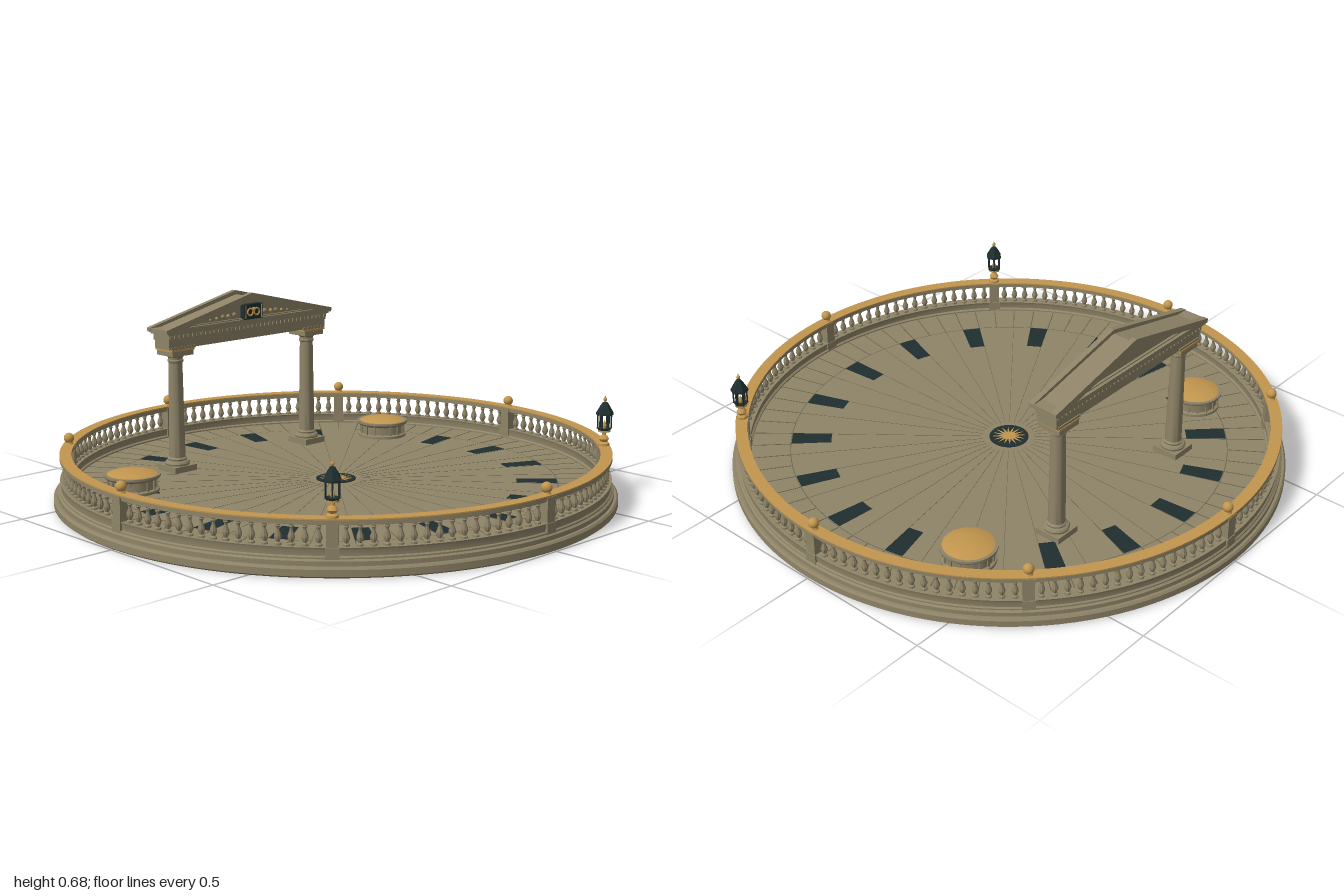
import * as THREE from 'three';
import { toCreasedNormals } from 'three/addons/utils/BufferGeometryUtils.js';

const mat = (name, color) => Object.assign(new THREE.MeshStandardMaterial({ color }), { name });
const stone = mat('stone', 0x8f8468);
const joint = mat('stone joint', 0x6a614b);
const gold = mat('gold', 0xc2964e);
const dark = mat('dark slate', 0x1f2e2f);

const FLOOR = 0.055, RAIL_R = 0.955, GATE_Z = -0.4975;

function add(parent, name, geo, material, x = 0, y = 0, z = 0, ry = 0) {
  const m = new THREE.Mesh(geo, material);
  m.name = name;
  m.position.set(x, y, z);
  m.rotation.y = ry;
  parent.add(m);
  return m;
}
function group(parent, name, x = 0, y = 0, z = 0, ry = 0) {
  const g = new THREE.Group();
  g.name = name;
  g.position.set(x, y, z);
  g.rotation.y = ry;
  parent.add(g);
  return g;
}
const box = (w, h, d) => new THREE.BoxGeometry(w, h, d);
// Profile of [radius, height] pairs, listed from the bottom up the outside
const lathe = (pts, seg) => toCreasedNormals(
  new THREE.LatheGeometry(pts.map(p => new THREE.Vector2(p[0], p[1])), seg), 0.6);
// Closed ring of rectangular section
const ring = (r0, r1, y0, y1, seg = 128) =>
  lathe([[r0, y0], [r1, y0], [r1, y1], [r0, y1], [r0, y0]], seg);
const flatRing = (r0, r1, seg = 96, start = 0, len = Math.PI * 2) =>
  new THREE.RingGeometry(r0, r1, seg, 1, start, len).rotateX(-Math.PI / 2);
function outline(pts) {
  return new THREE.Shape(pts.map(p => new THREE.Vector2(p[0], p[1])));
}
const extrude = (shape, depth) =>
  new THREE.ExtrudeGeometry(shape, { depth, bevelEnabled: false, curveSegments: 12 });

function buildFloor(root) {
  const g = group(root, 'terrace');
  add(g, 'steppedBase', lathe([[0, 0], [0.992, 0], [1, 0.006], [1, 0.028], [0.994, 0.035],
    [0.985, 0.035], [0.985, 0.05], [0.978, FLOOR], [0, FLOOR]], 128), stone);

  // Paving joints: broad outer border, finer inner rays
  const outer = box(0.003, 0.002, 0.135), inner = box(0.0014, 0.002, 0.69);
  for (let i = 0; i < 72; i++) {
    const a = i * Math.PI / 36, s = Math.sin(a), c = Math.cos(a);
    add(g, 'borderJoint', outer, joint, 0.86 * s, FLOOR, 0.86 * c, a);
    if (i % 2 === 0) add(g, 'innerJoint', inner, joint, 0.44 * s, FLOOR - 0.0003, 0.44 * c, a);
  }
  add(g, 'borderRing', flatRing(0.789, 0.792), joint, 0, FLOOR + 0.0012);

  // Dark paving slabs, one in every 20 degrees
  const step = Math.PI / 36;
  const slab = flatRing(0.645, 0.788, 3, -Math.PI / 2 - step / 2, step);
  for (let i = 0; i < 18; i++) add(g, 'darkSlab', slab, dark, 0, FLOOR + 0.002, 0, step * (0.5 + 4 * i));

  // Centre medallion with a sixteen-ray star
  add(g, 'medallion', new THREE.CylinderGeometry(0.071, 0.071, 0.003, 48), dark, 0, FLOOR + 0.0015);
  const star = [];
  for (let i = 0; i < 32; i++) {
    const r = i % 2 ? 0.022 : 0.058, a = i * Math.PI / 16;
    star.push([r * Math.cos(a), r * Math.sin(a)]);
  }
  add(g, 'medallionStar', extrude(outline(star), 0.003).rotateX(-Math.PI / 2), gold, 0, FLOOR + 0.002);
}

function buildLantern(parent) {
  const g = group(parent, 'lantern', 0, 0.18, 0);
  add(g, 'lanternFoot', lathe([[0, 0], [0.02, 0], [0.02, 0.008], [0.012, 0.014], [0.018, 0.024],
    [0.012, 0.034], [0.007, 0.038], [0.007, 0.046], [0.022, 0.05], [0.022, 0.056], [0, 0.056]], 16), gold);
  add(g, 'lanternFloor', new THREE.CylinderGeometry(0.025, 0.022, 0.007, 6), dark, 0, 0.059);
  for (let i = 0; i < 6; i++) {
    const a = (i * Math.PI) / 3;
    add(g, 'lanternBar', box(0.005, 0.053, 0.005), dark, 0.024 * Math.sin(a), 0.087, 0.024 * Math.cos(a), a);
  }
  add(g, 'lanternFlame', lathe([[0, 0], [0.006, 0], [0.008, 0.012], [0, 0.03]], 10), gold, 0, 0.062);
  add(g, 'lanternRoof', new THREE.LatheGeometry([[0, 0.112], [0.032, 0.112], [0.031, 0.119],
    [0.018, 0.142], [0.009, 0.156], [0, 0.16]].map(p => new THREE.Vector2(...p)), 6).toNonIndexed(), dark)
    .geometry.computeVertexNormals();
  add(g, 'lanternFinial', new THREE.SphereGeometry(0.007, 12, 8), gold, 0, 0.167);
  add(g, 'lanternTip', new THREE.ConeGeometry(0.004, 0.014, 10), gold, 0, 0.176);
}

function buildBalustrade(root) {
  const g = group(root, 'balustrade');
  add(g, 'kerb', lathe([[0.93, 0.05], [0.978, 0.05], [0.978, 0.06], [0.973, 0.064], [0.973, 0.083],
    [0.976, 0.09], [0.934, 0.09], [0.937, 0.083], [0.937, 0.064], [0.93, 0.06], [0.93, 0.05]], 128), stone);
  add(g, 'railUnderside', ring(0.938, 0.972, 0.16, 0.167), stone);
  add(g, 'rail', ring(0.934, 0.976, 0.167, 0.176), stone);
  add(g, 'railGoldTop', ring(0.934, 0.976, 0.176, 0.18), gold);

  const baluster = lathe([[0.011, 0.09], [0.011, 0.096], [0.006, 0.1], [0.0115, 0.113], [0.011, 0.121],
    [0.005, 0.138], [0.0055, 0.146], [0.0085, 0.15], [0.006, 0.154], [0.0105, 0.157], [0.0105, 0.161]], 8);
  const PER_BAY = 17;
  for (let k = 0; k < 8; k++) {
    const a = k * Math.PI / 4;
    const post = group(g, 'post', RAIL_R * Math.sin(a), 0, RAIL_R * Math.cos(a), a);
    add(post, 'postShaft', box(0.038, 0.125, 0.042), stone, 0, 0.1125);
    add(post, 'postFoot', box(0.044, 0.036, 0.048), stone, 0, 0.072);
    add(post, 'postHead', box(0.044, 0.012, 0.046), stone, 0, 0.1685);
    if (k === 1 || k === 7) buildLantern(post);
    else {
      add(post, 'finialNeck', new THREE.CylinderGeometry(0.01, 0.016, 0.012, 16), gold, 0, 0.184);
      add(post, 'finialBall', new THREE.SphereGeometry(0.0185, 20, 14), gold, 0, 0.2015);
    }
    for (let i = 1; i <= PER_BAY; i++) {
      const b = a + (i / (PER_BAY + 1)) * Math.PI / 4;
      add(g, 'baluster', baluster, stone, RAIL_R * Math.sin(b), 0, RAIL_R * Math.cos(b));
    }
  }
}

// Low round drum with a domed gold top
function buildDrum(root, side) {
  const g = group(root, 'drum', side * 0.625, FLOOR, -0.375);
  add(g, 'drumBody', lathe([[0.094, 0], [0.094, 0.01], [0.084, 0.014], [0.084, 0.044], [0.096, 0.05],
    [0.099, 0.054], [0.099, 0.062], [0.088, 0.062], [0.088, 0.052], [0, 0.052]], 40), stone);
  add(g, 'drumDome', lathe([[0.089, 0.054], [0.088, 0.062], [0.07, 0.068], [0.04, 0.073], [0, 0.075]], 40), gold);
  for (let i = 0; i < 16; i++) {
    const a = i * Math.PI / 8;
    add(g, 'drumRib', box(0.008, 0.034, 0.008), stone, 0.085 * Math.sin(a), 0.029, 0.085 * Math.cos(a), a);
  }
}

function buildGate(root) {
  const g = group(root, 'gate', 0, 0, GATE_Z);
  for (const s of [-1, 1]) {
    const c = group(g, 'column', s * 0.325, 0, 0);
    add(c, 'columnPlinth', box(0.1, 0.022, 0.1), stone, 0, FLOOR + 0.011);
    add(c, 'columnShaft', lathe([[0.044, 0.077], [0.046, 0.084], [0.042, 0.091], [0.034, 0.094], [0.036, 0.1],
      [0.03, 0.106], [0.029, 0.2], [0.025, 0.455], [0.029, 0.459], [0.029, 0.465], [0.026, 0.468],
      [0.027, 0.475], [0.042, 0.488]], 24), stone);
    add(c, 'columnCapital', box(0.096, 0.018, 0.09), stone, 0, 0.493);
    add(c, 'capitalBand', box(0.104, 0.007, 0.094), gold, 0, 0.5055);
    add(c, 'columnBlock', box(0.11, 0.01, 0.09), stone, -s * 0.002, 0.513);
  }
  add(g, 'beam', box(0.77, 0.03, 0.082), stone, 0, 0.526);
  add(g, 'frieze', box(0.775, 0.026, 0.088), stone, 0, 0.553);
  for (const z of [-0.045, 0.045])
    for (let i = 0; i < 38; i++)
      add(g, 'dentil', box(0.011, 0.012, 0.008), stone, (i - 18.5) * 0.0205, 0.556, z);
  add(g, 'corniceLower', box(0.79, 0.008, 0.104), stone, 0, 0.567);
  add(g, 'cornice', box(0.81, 0.014, 0.114), stone, 0, 0.577);

  // Pediment: recessed core between a raised frame at the front and back
  const core = outline([[-0.38, 0.58], [0.38, 0.58], [0, 0.667]]);
  add(g, 'pedimentCore', extrude(core, 0.074), stone, 0, 0, -0.037);
  const rake = (out, inn, depth, z, name) => {
    const s = outline(out);
    s.holes.push(outline(inn));
    add(g, name, extrude(s, depth), stone, 0, 0, z);
  };
  const hole = [[-0.305, 0.586], [0, 0.657], [0.305, 0.586]];
  const outer = [[-0.407, 0.574], [0.407, 0.574], [0.407, 0.585], [0, 0.682], [-0.407, 0.585]];
  const innerHole = [[-0.265, 0.59], [0, 0.65], [0.265, 0.59]];
  const innerOut = [[-0.33, 0.582], [0.33, 0.582], [0, 0.66]];
  rake(outer, hole, 0.02, 0.037, 'frontRakingCornice');
  rake(outer, hole, 0.02, -0.057, 'backRakingCornice');
  rake(innerOut, innerHole, 0.01, 0.036, 'frontInnerMoulding');
  rake(innerOut, innerHole, 0.01, -0.046, 'backInnerMoulding');

  // Framed plaque and small bosses on the front
  add(g, 'plaque', box(0.088, 0.056, 0.026), dark, 0, 0.613, 0.048);
  for (const s of [-1, 1]) {
    add(g, 'plaqueLeaf', new THREE.TorusGeometry(0.013, 0.0035, 6, 16), gold, s * 0.016, 0.612, 0.061);
    add(g, 'plaqueEdge', box(0.003, 0.05, 0.004), gold, s * 0.039, 0.613, 0.061);
    [[0.075, 0.606, 0.009], [0.105, 0.604, 0.007], [0.13, 0.604, 0.008], [0.16, 0.601, 0.006], [0.19, 0.598, 0.005]]
      .forEach(([x, y, r], i) =>
        add(g, 'boss', new THREE.SphereGeometry(r, 12, 8), i % 2 ? gold : stone, s * x, y, 0.038));
  }
  add(g, 'plaqueBoss', new THREE.SphereGeometry(0.008, 12, 8), gold, 0, 0.622, 0.061);
}

export function createModel() {
  const root = new THREE.Group();
  root.name = 'roundTerrace';
  buildFloor(root);
  buildBalustrade(root);
  buildDrum(root, -1);
  buildDrum(root, 1);
  buildGate(root);
  return root;
}
